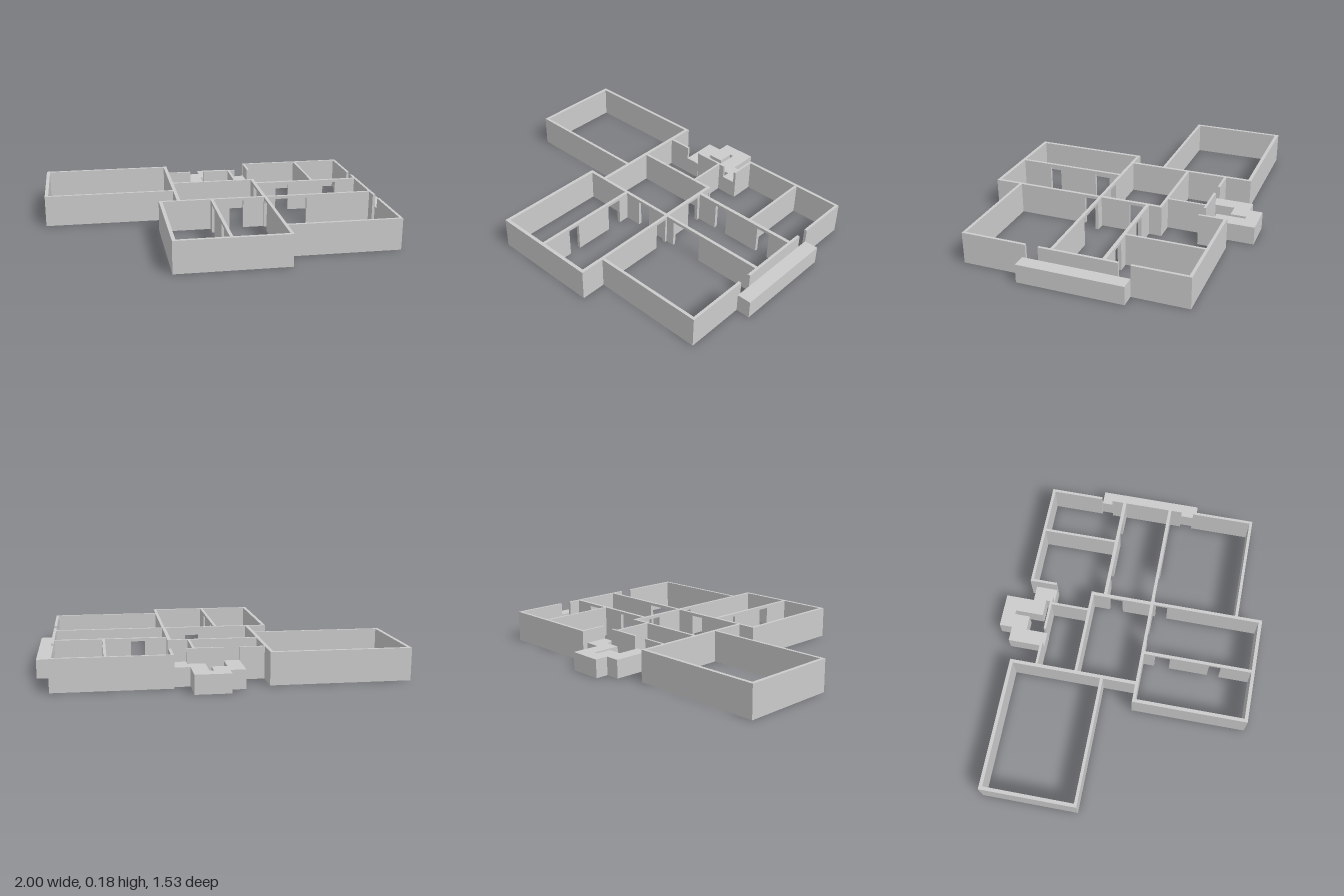
import * as THREE from 'three';

const H = 0.18;        // wall height
const LOW = 0.105;     // height of the outdoor blocks
const DOOR = 0.163;    // underside of door headers
const mat = new THREE.MeshStandardMaterial({ color: 0xcccccc, flatShading: true });

export function createModel() {
  const model = new THREE.Group();
  model.name = 'floorPlan';

  function box(name, x0, x1, y0, y1, z0, z1, parent = model) {
    const m = new THREE.Mesh(new THREE.BoxGeometry(x1 - x0, y1 - y0, z1 - z0), mat);
    m.position.set((x0 + x1) / 2, (y0 + y1) / 2, (z0 + z1) / 2);
    m.name = name;
    parent.add(m);
  }

  // Straight wall along 'x' or 'z' from a to b, c0..c1 across; doors are [start, end] pairs under a header
  function wall(name, axis, a, b, c0, c1, doors = []) {
    const g = new THREE.Group();
    g.name = name;
    const part = (n, s, e, y0, y1) => axis === 'x'
      ? box(n, s, e, y0, y1, c0, c1, g) : box(n, c0, c1, y0, y1, s, e, g);
    let from = a;
    for (const [s, e] of doors) {
      part('wallPiece', from, s, 0, H);
      part('doorHeader', s, e, DOOR, H);
      from = e;
    }
    part('wallPiece', from, b, 0, H);
    model.add(g);
  }

  // Large side room
  wall('sideRoomBackWall', 'x', -1, -0.23, -0.643, -0.623);
  wall('sideRoomFrontWall', 'x', -1, -0.23, -0.107, -0.09);
  wall('sideRoomOuterWall', 'z', -0.643, -0.09, -1, -0.98);
  wall('sideRoomInnerWall', 'z', -0.643, 0.1, -0.247, -0.227);

  // Entrance room, with free gaps in its back wall
  wall('entranceBackWall', 'x', -0.23, -0.09, -0.494, -0.48);
  wall('entranceBackWall', 'x', -0.005, 0.2, -0.494, -0.48);
  wall('entrancePartition', 'z', -0.485, -0.25, 0.153, 0.167);

  // Central room
  wall('centralBackWall', 'x', -0.23, 0.28, -0.262, -0.245);
  wall('centralSideWall', 'z', -0.262, 0.1, 0.258, 0.278, [[-0.15, -0.07]]);

  // Back rooms
  wall('backRoomWall', 'x', 0.278, 0.92, -0.637, -0.62);
  wall('backRoomEntryWall', 'z', -0.637, -0.478, 0.28, 0.295);
  wall('backRoomPartition', 'z', -0.63, -0.18, 0.625, 0.64);
  wall('backRoomFrontWall', 'x', 0.27, 0.92, -0.188, -0.168, [[0.4, 0.48], [0.7, 0.78]]);

  // Outer wall with two free gaps onto the terrace
  for (const [a, b] of [[-0.637, -0.323], [-0.257, 0.18], [0.252, 0.618]])
    wall('terraceSideWall', 'z', a, b, 0.904, 0.92);

  // Middle wall running across the house
  wall('middleWall', 'x', -0.352, 0.92, 0.098, 0.116, [[0.06, 0.14], [0.33, 0.52]]);

  // Front rooms
  wall('frontOuterWall', 'z', 0.098, 0.765, -0.352, -0.332);
  wall('frontPartition', 'z', 0.11, 0.765, -0.054, -0.036, [[0.18, 0.27], [0.5, 0.57]]);
  wall('frontSideWall', 'z', 0.098, 0.765, 0.262, 0.28, [[0.13, 0.2]]);
  wall('frontWall', 'x', -0.352, 0.28, 0.745, 0.765);
  wall('cornerRoomFrontWall', 'x', 0.27, 0.92, 0.603, 0.62);

  // Low terrace block
  box('terrace', 0.92, 1, 0, LOW, -0.323, 0.272);

  // Low stepped porch block
  const outline = [
    [-0.09, -0.695], [-0.005, -0.695], [-0.005, -0.77], [0.19, -0.77], [0.19, -0.605], [0.295, -0.605],
    [0.295, -0.478], [0.2, -0.478], [0.2, -0.53], [0.103, -0.53], [0.103, -0.695], [0.08, -0.695],
    [0.08, -0.605], [-0.005, -0.605], [-0.005, -0.478], [-0.09, -0.478],
  ];
  const shape = new THREE.Shape(outline.map(([x, z]) => new THREE.Vector2(x, -z)));
  const porch = new THREE.Mesh(
    new THREE.ExtrudeGeometry(shape, { depth: LOW, bevelEnabled: false }).rotateX(-Math.PI / 2), mat);
  porch.name = 'porch';
  model.add(porch);

  return model;
}
